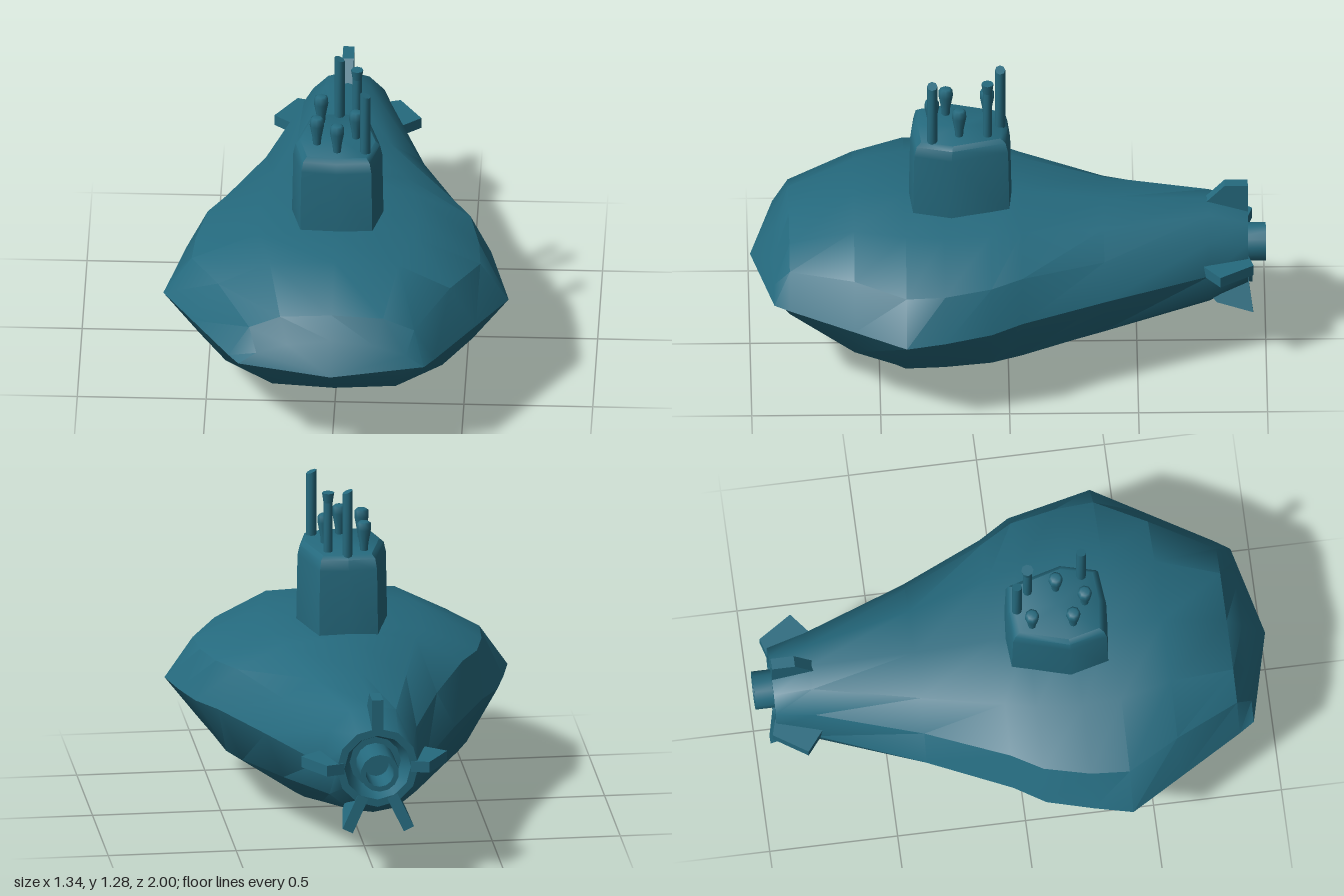
import * as THREE from 'three';
import { toCreasedNormals } from 'three/addons/utils/BufferGeometryUtils.js';

const AXIS_Y = 0.46; // height of the tail axis

// Skin between closed loops that share a point count
function loft(loops, crease) {
  const n = loops[0].length, idx = [];
  for (let i = 0; i < loops.length - 1; i++) {
    for (let j = 0; j < n; j++) {
      const a = i * n + j, b = i * n + (j + 1) % n, c = a + n, d = b + n;
      idx.push(a, b, c, b, d, c);
    }
  }
  const g = new THREE.BufferGeometry();
  g.setAttribute('position', new THREE.Float32BufferAttribute(loops.flat(2), 3));
  g.setIndex(idx);
  return toCreasedNormals(g, crease);
}

// Half outline (centre, +x side, centre) completed by its mirror image
const mirror = (half) => [...half, ...half.slice(1, -1).reverse().map(([x, ...r]) => [-x, ...r])];

export function createModel() {
  const model = new THREE.Group();
  const teal = new THREE.MeshStandardMaterial({ color: 0x256a7e });
  const add = (name, geometry, parent = model) => {
    const m = new THREE.Mesh(geometry, teal);
    m.name = name;
    parent.add(m);
    return m;
  };

  // Hull: z, then half section from top centre over the rim to the keel
  const stations = [
    [1, Array(7).fill([0, 0.42])],
    [0.91, [[0, 0.53], [0.17, 0.51], [0.29, 0.47], [0.36, 0.42], [0.25, 0.38], [0.12, 0.35], [0, 0.34]]],
    [0.85, [[0, 0.61], [0.2, 0.6], [0.32, 0.55], [0.4, 0.42], [0.3, 0.34], [0.16, 0.3], [0, 0.285]]],
    [0.6, [[0, 0.7], [0.25, 0.69], [0.45, 0.59], [0.55, 0.42], [0.42, 0.24], [0.24, 0.14], [0, 0.125]]],
    [0.4, [[0, 0.705], [0.3, 0.695], [0.56, 0.58], [0.67, 0.42], [0.53, 0.24], [0.3, 0.08], [0, 0.035]]],
    [0.25, [[0, 0.705], [0.31, 0.695], [0.55, 0.58], [0.635, 0.42], [0.5, 0.23], [0.24, 0.045], [0, 0]]],
    [0.07, [[0, 0.705], [0.29, 0.69], [0.51, 0.59], [0.59, 0.43], [0.47, 0.22], [0.2, 0.04], [0, 0.015]]],
    [-0.05, [[0, 0.705], [0.26, 0.685], [0.44, 0.59], [0.515, 0.43], [0.42, 0.22], [0.18, 0.06], [0, 0.03]]],
    [-0.37, [[0, 0.67], [0.18, 0.645], [0.3, 0.57], [0.37, 0.43], [0.3, 0.25], [0.15, 0.145], [0, 0.125]]],
    [-0.78, [[0, 0.665], [0.09, 0.645], [0.17, 0.57], [0.21, 0.44], [0.17, 0.31], [0.09, 0.245], [0, 0.23]]],
  ];
  const loops = stations.map(([z, half]) => mirror(half.map(([x, y]) => [x, y, z])));
  // Round tail rim, folding into a recess around the nozzle
  for (const [r, z] of [[0.16, -0.93], [0.13, -0.93], [0.1, -0.85], [0, -0.85]]) {
    loops.push(Array.from({ length: 12 }, (_, k) => {
      const t = k * Math.PI / 6;
      return [r * Math.sin(t), AXIS_Y + r * Math.cos(t), z];
    }));
  }
  add('hull', loft(loops, 0.6));

  // Conning tower with a rounded-off roof
  const plan = [[0, 0.385], [0.14, 0.37], [0.178, 0.22], [0.115, -0.005], [0, -0.015]];
  const tower = [[0.67, 1], [0.96, 0.97], [1, 0.92], [1.015, 0.82], [1.015, 0]].map(([y, s]) =>
    mirror(plan.map(([x, z]) => [x * s, y, 0.19 + (z - 0.19) * s])));
  add('conningTower', loft(tower, 0.7));

  // Tall masts with slanted tips: x, z, top, radius
  const masts = new THREE.Group();
  masts.name = 'masts';
  model.add(masts);
  for (const [x, z, top, r] of [[0, 0.03, 1.28, 0.02], [0.11, 0.295, 1.28, 0.02], [0.07, 0.08, 1.255, 0.018]]) {
    const g = new THREE.CylinderGeometry(r, r, top - 0.98, 8);
    const p = g.attributes.position;
    for (let i = 0; i < p.count; i++) {
      if (p.getY(i) > 0) p.setY(i, p.getY(i) - (p.getX(i) + r) * 0.4);
    }
    add('tallMast', toCreasedNormals(g, 0.9), masts).position.set(x, (top + 0.98) / 2, z);
  }
  add('mastHead', new THREE.CylinderGeometry(0.024, 0.018, 0.04, 8), masts).position.set(0.07, 1.235, 0.08);

  // Short masts with swollen heads
  const bulb = [[0.014, 0.98], [0.017, 1.04], [0.028, 1.1], [0.027, 1.125], [0.018, 1.132], [0, 1.132]]
    .map(([r, y]) => new THREE.Vector2(r, y));
  for (const [x, z] of [[-0.07, 0.08], [0.07, 0.19], [-0.08, 0.24], [0, 0.295]]) {
    add('shortMast', new THREE.LatheGeometry(bulb, 8), masts).position.set(x, 0, z);
  }

  // Propulsion nozzle, a hollow tube
  const tube = [[0.075, 0.83], [0.075, 1], [0.055, 1], [0.05, 0.88], [0, 0.88]]
    .map(([r, y]) => new THREE.Vector2(r, y));
  const nozzle = toCreasedNormals(new THREE.LatheGeometry(tube, 14).rotateX(-Math.PI / 2), 0.6);
  add('nozzle', nozzle).position.y = AXIS_Y;

  // Tail fins: outline as (z, distance from axis), turned about the axis
  const topFin = [[-0.72, 0.15], [-0.84, 0.275], [-0.93, 0.275], [-0.93, 0.13]];
  const sideFin = [[-0.72, 0.16], [-0.82, 0.285], [-0.95, 0.2], [-0.93, 0.13]];
  const lowFin = [[-0.74, 0.16], [-0.81, 0.235], [-0.95, 0.275], [-0.93, 0.13]];
  for (const [name, outline, angle] of [
    ['topFin', topFin, 0], ['leftFin', sideFin, -Math.PI / 2], ['rightFin', sideFin, Math.PI / 2],
    ['lowerLeftFin', lowFin, Math.PI + 0.45], ['lowerRightFin', lowFin, Math.PI - 0.45],
  ]) {
    const shape = new THREE.Shape(outline.map(([z, r]) => new THREE.Vector2(z, r)));
    const g = new THREE.ExtrudeGeometry(shape, { depth: 0.044, bevelEnabled: false });
    g.translate(0, 0, -0.022).rotateY(-Math.PI / 2).rotateZ(angle);
    add(name, g).position.y = AXIS_Y;
  }
  return model;
}
